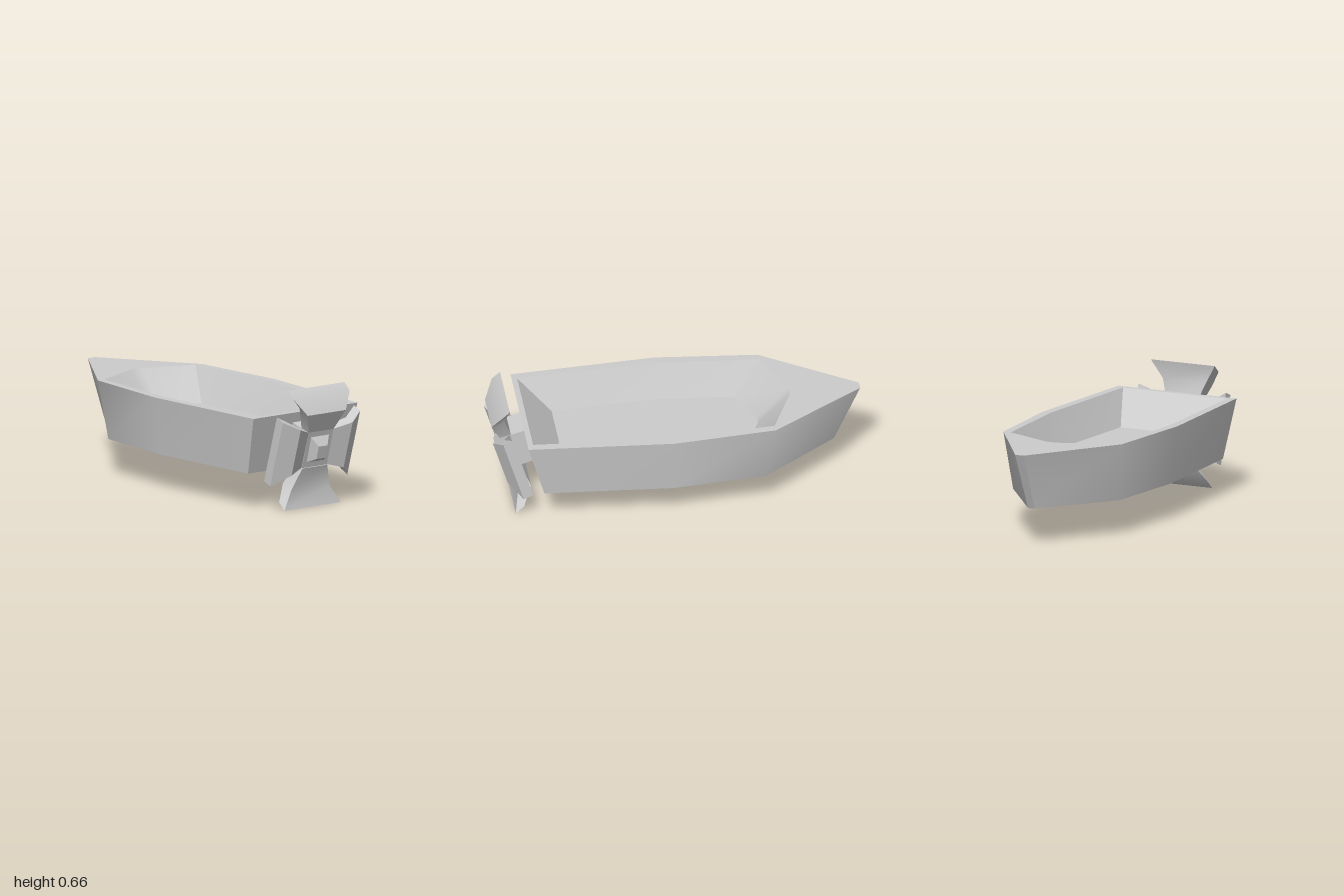
import * as THREE from 'three';
import { toCreasedNormals } from 'three/addons/utils/BufferGeometryUtils.js';

const material = new THREE.MeshStandardMaterial({ color: 0xcccccc });

// Closed solid through a list of rings with equal point counts, capped at both ends.
function loft(name, rings) {
  const pos = [];
  const tri = (a, b, c) => pos.push(...a, ...b, ...c);
  const n = rings[0].length;
  for (let k = 0; k < rings.length - 1; k++) {
    const A = rings[k], B = rings[k + 1];
    for (let i = 0; i < n; i++) {
      const j = (i + 1) % n;
      tri(A[i], A[j], B[j]);
      tri(A[i], B[j], B[i]);
    }
  }
  const first = rings[0], last = rings[rings.length - 1];
  for (let i = 1; i < n - 1; i++) {
    tri(first[0], first[i + 1], first[i]);
    tri(last[0], last[i], last[i + 1]);
  }
  const geo = new THREE.BufferGeometry();
  geo.setAttribute('position', new THREE.Float32BufferAttribute(pos, 3));
  const mesh = new THREE.Mesh(toCreasedNormals(geo, 0.6), material);
  mesh.name = name;
  return mesh;
}

// Symmetric outline at height y from half of its [x, z] points, bow to stern.
function outline(y, half) {
  return [
    ...half.map(([x, z]) => [x, y, z]),
    ...half.slice().reverse().map(([x, z]) => [x, y, -z]),
  ];
}

// Rectangle facing along x, from a top and a bottom [x, y] point.
const panel = (top, bottom, w) => [
  [...top, -w], [...top, w], [...bottom, w], [...bottom, -w],
];

// Rectangle facing up, from a back and a front [x, y] point.
const upright = (back, front, w) => [
  [...back, w], [...front, w], [...front, -w], [...back, -w],
];

// Rectangle facing sideways at z, tilted like the transom.
function sideways(front, back, z, h) {
  const p = ([x, y], s) => [x + s * h * 0.29, y + s * h * 0.955, z];
  const ring = [p(front, 1), p(back, 1), p(back, -1), p(front, -1)];
  return z < 0 ? ring.reverse() : ring;
}

export function createModel() {
  const model = new THREE.Group();
  model.name = 'boat';

  // Hull: outer bottom, outer rim, inner rim, cabin floor
  model.add(loft('hull', [
    outline(0.2, [[-0.86, 0.02], [-0.455, 0.32], [0.05, 0.365], [0.74, 0.32]]),
    outline(0.516, [[-1, 0.025], [-0.5, 0.355], [0.05, 0.405], [0.83, 0.355]]),
    outline(0.516, [[-0.62, 0.032], [-0.5, 0.312], [0.05, 0.355], [0.8, 0.312]]),
    outline(0.34, [[-0.45, 0.022], [-0.355, 0.235], [0.05, 0.27], [0.625, 0.235]]),
  ]));

  const propeller = new THREE.Group();
  propeller.name = 'propeller';
  propeller.position.z = -0.01;
  model.add(propeller);

  // Shaft block against the transom and the tapered hub cap
  propeller.add(loft('shaft', [
    panel([0.805, 0.462], [0.755, 0.267], 0.085),
    panel([0.95, 0.425], [0.893, 0.223], 0.085),
  ]));
  propeller.add(loft('hubCap', [
    panel([0.94, 0.4], [0.895, 0.25], 0.063),
    panel([0.968, 0.345], [0.95, 0.275], 0.03),
  ]));

  // Top blade, and the same blade turned half round for the bottom
  const topBlade = loft('topBlade', [
    upright([0.89, 0.44], [0.95, 0.425], 0.085),
    upright([0.93, 0.56], [1, 0.53], 0.13),
    upright([0.91, 0.66], [0.955, 0.62], 0.192),
  ]);
  const bottomBlade = topBlade.clone();
  bottomBlade.name = 'bottomBlade';
  bottomBlade.rotation.z = Math.PI;
  bottomBlade.position.set(1.788, 0.662, 0);
  propeller.add(topBlade, bottomBlade);

  // Side blades
  for (const s of [1, -1]) {
    propeller.add(loft(s > 0 ? 'frontBlade' : 'backBlade', [
      sideways([0.92, 0.325], [0.865, 0.34], s * 0.085, 0.105),
      sideways([0.96, 0.328], [0.9, 0.345], s * 0.177, 0.135),
      sideways([0.9, 0.32], [0.848, 0.342], s * 0.263, 0.19),
    ]));
  }

  return model;
}
